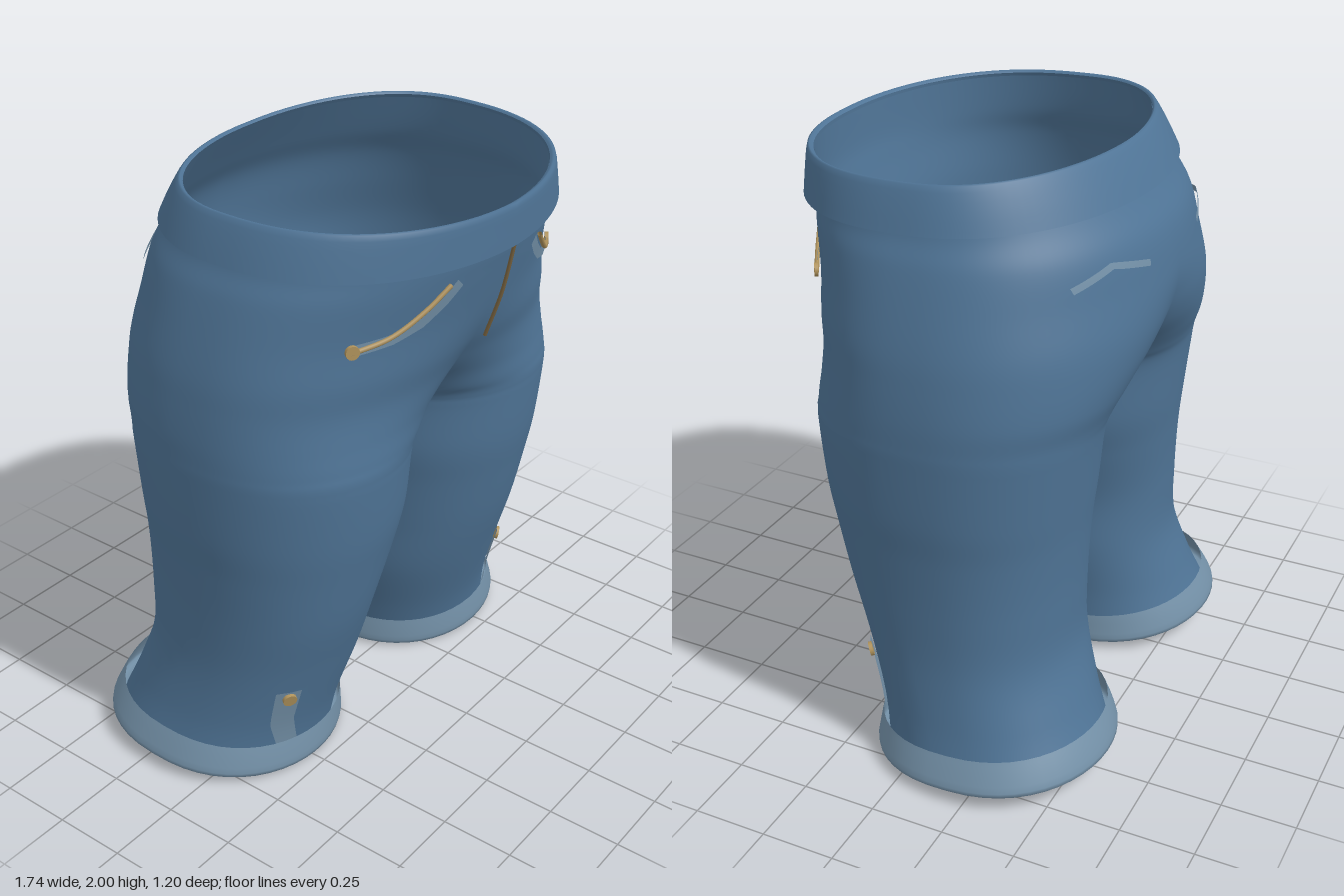
import * as THREE from 'three';
import { mergeGeometries, mergeVertices } from 'three/addons/utils/BufferGeometryUtils.js';

const mat = (name, color) => Object.assign(new THREE.MeshStandardMaterial({ color, side: THREE.DoubleSide }), { name });

// Row: y, outer x, inner x (left leg), inner x (right leg), front z, middle z, back z, tilt.
// A negative inner x means the two leg ovals overlap and form one torso outline.
const BODY = [
  [1.965, 0.630, -0.630, -0.630, 0.575, 0.02, -0.415, 0.02],
  [1.840, 0.655, -0.655, -0.655, 0.568, 0.01, -0.505, 0.01],
  [1.750, 0.695, -0.695, -0.695, 0.552, 0.00, -0.565, 0],
  [1.620, 0.735, -0.700, -0.700, 0.520, -0.01, -0.592, 0],
  [1.500, 0.765, -0.500, -0.500, 0.485, -0.02, -0.590, 0],
  [1.400, 0.780, -0.330, -0.330, 0.452, -0.03, -0.572, 0],
  [1.300, 0.790, -0.150, -0.150, 0.438, -0.04, -0.540, 0],
  [1.220, 0.793, -0.055, -0.055, 0.438, -0.04, -0.508, 0],
  [1.150, 0.793, 0.000, 0.000, 0.436, -0.04, -0.492, 0],
  [0.950, 0.785, 0.004, 0.014, 0.415, -0.04, -0.470, 0],
  [0.800, 0.770, 0.024, 0.055, 0.385, -0.04, -0.455, 0],
  [0.600, 0.758, 0.040, 0.110, 0.338, -0.06, -0.445, 0],
  [0.400, 0.758, 0.052, 0.120, 0.275, -0.09, -0.450, 0],
  [0.200, 0.785, 0.095, 0.150, 0.205, -0.15, -0.505, 0.02],
  [0.045, 0.825, 0.125, 0.150, 0.170, -0.20, -0.565, 0.03],
];
const BELT = [
  [1.975, 0.630, -0.630, -0.630, 0.578, 0.02, -0.415, 0.02],
  [1.980, 0.645, -0.645, -0.645, 0.598, 0.02, -0.430, 0.02],
  [1.915, 0.672, -0.672, -0.672, 0.600, 0.02, -0.475, 0.02],
  [1.845, 0.695, -0.695, -0.695, 0.600, 0.02, -0.515, 0.02],
];
const CUFF = [
  [0.142, 0.830, 0.100, 0.115, 0.195, -0.18, -0.555, 0.03],
  [0.090, 0.855, 0.092, 0.110, 0.202, -0.19, -0.582, 0.03],
  [0.040, 0.872, 0.090, 0.108, 0.203, -0.20, -0.598, 0.03],
  [0.037, 0.825, 0.125, 0.150, 0.170, -0.20, -0.565, 0.03],
];

// Smooth interpolation of a row table at fractional index t
function sample(rows, t) {
  const i = Math.min(Math.floor(t), rows.length - 2), f = t - i;
  const [a, b, c, d] = [-1, 0, 1, 2].map(k => rows[THREE.MathUtils.clamp(i + k, 0, rows.length - 1)]);
  return b.map((v, k) => v + 0.5 * f * (c[k] - a[k] + f * (2 * a[k] - 5 * v + 4 * c[k] - d[k]
    + f * (3 * (v - c[k]) + d[k] - a[k]))));
}

const bulge = (c, r) => c >= 0 ? r[5] + (r[4] - r[5]) * c ** 0.85 : r[5] - (r[5] - r[6]) * (-c) ** 0.85;

// Loft one half from front centre, round the outside, to back centre
function half(rows, side, steps) {
  const N = 48, pos = [], idx = [], total = (rows.length - 1) * steps;
  for (let j = 0; j <= total; j++) {
    const r = sample(rows, j / steps), inner = side > 0 ? r[2] : r[3];
    const cx = (r[1] + inner) / 2, rx = (r[1] - inner) / 2;
    const a = Math.asin(THREE.MathUtils.clamp(cx / rx, -1, 1));
    for (let k = 0; k <= N; k++) {
      const phi = -a + (Math.PI + 2 * a) * k / N, s = Math.sin(phi), c = Math.cos(phi);
      pos.push(side * (cx + rx * s), r[0] - r[7] * c + 0.4 * r[7] * s, bulge(c, r));
      if (j < total && k < N) {
        const p = j * (N + 1) + k, q = p + N + 1;
        idx.push(...(side > 0 ? [p, q, p + 1, q, q + 1, p + 1] : [p, p + 1, q, q, p + 1, q + 1]));
      }
    }
  }
  const g = new THREE.BufferGeometry();
  g.setAttribute('position', new THREE.Float32BufferAttribute(pos, 3));
  return g.setIndex(idx);
}

function loft(rows, sides, steps) {
  const g = mergeVertices(mergeGeometries(sides.map(s => half(rows, s, steps))), 1e-4);
  g.computeVertexNormals();
  return g;
}

// Point on the cloth at (x, y), lifted off it; face is 1 for front, -1 for back
function onCloth(x, y, lift, face = 1) {
  const at = (px, py) => {
    let lo = 0, hi = BODY.length - 1;
    for (let n = 0; n < 30; n++) {
      const m = (lo + hi) / 2;
      if (sample(BODY, m)[0] > py) lo = m; else hi = m;
    }
    const r = sample(BODY, lo), inner = px > 0 ? r[2] : r[3];
    const s = (Math.abs(px) - (r[1] + inner) / 2) / ((r[1] - inner) / 2);
    return new THREE.Vector3(px, py, bulge(face * Math.sqrt(Math.max(0, 1 - s * s)), r));
  };
  const p = at(x, y), e = 0.01;
  const normal = at(x + e, y).sub(p).cross(at(x, y + e).sub(p)).normalize().multiplyScalar(face);
  return { point: p.addScaledVector(normal, lift), normal };
}

// Flat strip of cloth following a path of [x, y]
function strip(path, width, face = 1, steps = 6) {
  const pos = [], idx = [], n = (path.length - 1) * steps;
  for (let i = 0; i <= n; i++) {
    const k = Math.min(Math.floor(i / steps), path.length - 2), f = i / steps - k;
    const [a, b] = [path[k], path[k + 1]];
    const len = Math.hypot(b[0] - a[0], b[1] - a[1]);
    const nx = -(b[1] - a[1]) / len, ny = (b[0] - a[0]) / len;
    for (const w of [-1, 0, 1]) {
      const x = a[0] + (b[0] - a[0]) * f + nx * w * width / 2;
      const y = a[1] + (b[1] - a[1]) * f + ny * w * width / 2;
      pos.push(...onCloth(x, y, 0.01, face).point.toArray());
    }
    if (i < n) for (const q of [i * 3, i * 3 + 1]) idx.push(q, q + 3, q + 1, q + 1, q + 3, q + 4);
  }
  const g = new THREE.BufferGeometry();
  g.setAttribute('position', new THREE.Float32BufferAttribute(pos, 3));
  g.setIndex(idx).computeVertexNormals();
  return g;
}

function cord(path, radius, lift) {
  const curve = new THREE.CatmullRomCurve3(path.map(([x, y]) => onCloth(x, y, lift).point));
  return new THREE.TubeGeometry(curve, 24, radius, 6);
}

export function createModel() {
  const denim = mat('denim blue', 0x4f7496);
  const faded = mat('faded blue', 0x7390a7);
  const brass = mat('brass', 0xb0935c);
  const dark = mat('dark brass', 0x7a6440);
  const group = new THREE.Group();
  group.name = 'shorts';
  const add = (name, geometry, material) => {
    const m = new THREE.Mesh(geometry, material);
    m.name = name;
    group.add(m);
    return m;
  };
  const button = (name, x, y, r) => {
    const { point, normal } = onCloth(x, y, 0.015);
    const b = add(name, new THREE.CylinderGeometry(r, r, 0.012, 16), brass);
    b.position.copy(point);
    b.quaternion.setFromUnitVectors(new THREE.Vector3(0, 1, 0), normal);
  };

  // Torso and legs, and the folded waistband
  add('body', loft(BODY, [1, -1], 8), denim);
  add('waistband', loft(BELT, [1, -1], 3), denim);

  // Fly seam
  add('fly', cord([[0.02, 1.82], [0.02, 1.66], [0.02, 1.5]], 0.006, 0.02), dark);

  for (const s of [1, -1]) {
    const label = s > 0 ? 'left' : 'right';
    const flip = path => path.map(([x, y]) => [s * x, y]);
    add(label + 'Cuff', loft(CUFF, [s], 3), faded);

    // Front pocket with zip and button
    add(label + 'PocketTrim', strip(flip([[0.2, 1.765], [0.25, 1.715], [0.32, 1.665], [0.41, 1.635], [0.53, 1.62]]), 0.036), faded);
    add(label + 'PocketZip', cord(flip([[0.24, 1.77], [0.32, 1.705], [0.42, 1.645], [0.53, 1.615]]), 0.008, 0.014), brass);
    button(label + 'PocketButton', s * 0.525, 1.62, 0.022);

    // Back pocket edge
    add(label + 'BackPocket', strip(flip([[0.2, 1.69], [0.36, 1.725], [0.5, 1.685]]), 0.02, -1), faded);

    // Hem tab
    add(label + 'HemTab', strip(flip([[0.625, 0.36], [0.625, 0.22], [0.598, 0.11]]), 0.07), faded);
    button(label + 'TabButton', s * 0.622, 0.33, 0.024);
  }
  return group;
}
